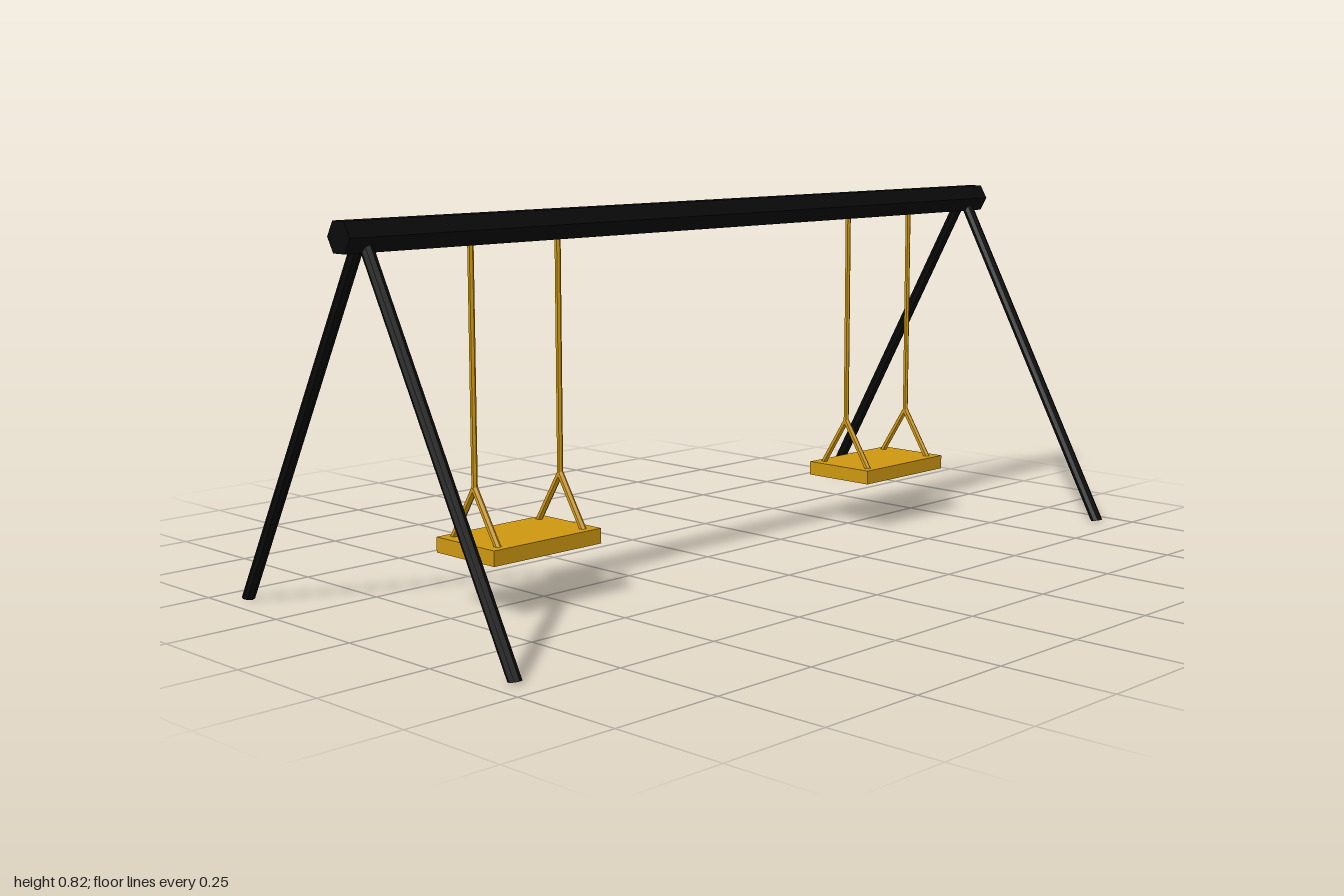
import * as THREE from 'three';

const black = new THREE.MeshStandardMaterial({ color: 0x0a0a0a, flatShading: true });
const yellow = new THREE.MeshStandardMaterial({ color: 0xcc9610, flatShading: true });

function add(parent, name, geometry, material) {
  const mesh = new THREE.Mesh(geometry, material);
  mesh.name = name;
  parent.add(mesh);
  return mesh;
}

// Straight rod between two points
function rod(parent, name, a, b, radius, sides, material) {
  const from = new THREE.Vector3(...a), to = new THREE.Vector3(...b);
  const dir = to.clone().sub(from);
  const mesh = add(parent, name, new THREE.CylinderGeometry(radius, radius, dir.length(), sides), material);
  mesh.position.copy(from).add(to).multiplyScalar(0.5);
  mesh.quaternion.setFromUnitVectors(new THREE.Vector3(0, 1, 0), dir.normalize());
  return mesh;
}

// Leg leaning outwards, with its foot cut almost level
function legGeometry(side) {
  const geometry = new THREE.CylinderGeometry(0.0135, 0.0135, 0.78, 8);
  const p = geometry.attributes.position;
  for (let i = 0; i < p.count; i++) {
    const z = p.getZ(i) * 1.14;
    const up = p.getY(i) + 0.39;
    const y = up + 0.0045 + 0.17 * z;
    p.setXYZ(i, p.getX(i), y, side * (0.4305 + z - 0.545 * (y - 0.0045)));
  }
  // Mirroring in z reverses the corner order
  if (side < 0) geometry.setIndex(Array.from(geometry.index.array).reverse());
  geometry.computeVertexNormals();
  return geometry;
}

function createSwing(x) {
  const swing = new THREE.Group();
  swing.name = 'swing';
  swing.position.set(x, 0, -0.005);

  const seat = add(swing, 'seat', new THREE.BoxGeometry(0.293, 0.033, 0.184), yellow);
  seat.position.y = 0.1325;

  // Hanging rods, each forking into two braces above the seat
  for (const side of [-1, 1]) {
    const rx = side * 0.1165;
    rod(swing, 'hangingRod', [rx, 0.255, -0.002], [rx, 0.78, -0.002], 0.0065, 6, yellow);
    for (const end of [-1, 1])
      rod(swing, 'seatBrace', [rx, 0.14, -0.002 + end * 0.075], [rx, 0.259, -0.002], 0.0075, 6, yellow);
  }
  return swing;
}

export function createModel() {
  const model = new THREE.Group();
  model.name = 'swingSet';

  // Hexagonal top beam, flat side up
  const beamGeometry = new THREE.CylinderGeometry(0.036, 0.036, 2, 6);
  beamGeometry.rotateZ(Math.PI / 2);
  const beam = add(model, 'topBeam', beamGeometry, black);
  beam.position.y = 0.788;

  // A-frame legs
  for (const x of [-0.947, 0.947])
    for (const side of [-1, 1])
      add(model, side > 0 ? 'frontLeg' : 'backLeg', legGeometry(side), black).position.x = x;

  for (const x of [-0.56, 0.614]) model.add(createSwing(x));
  return model;
}
